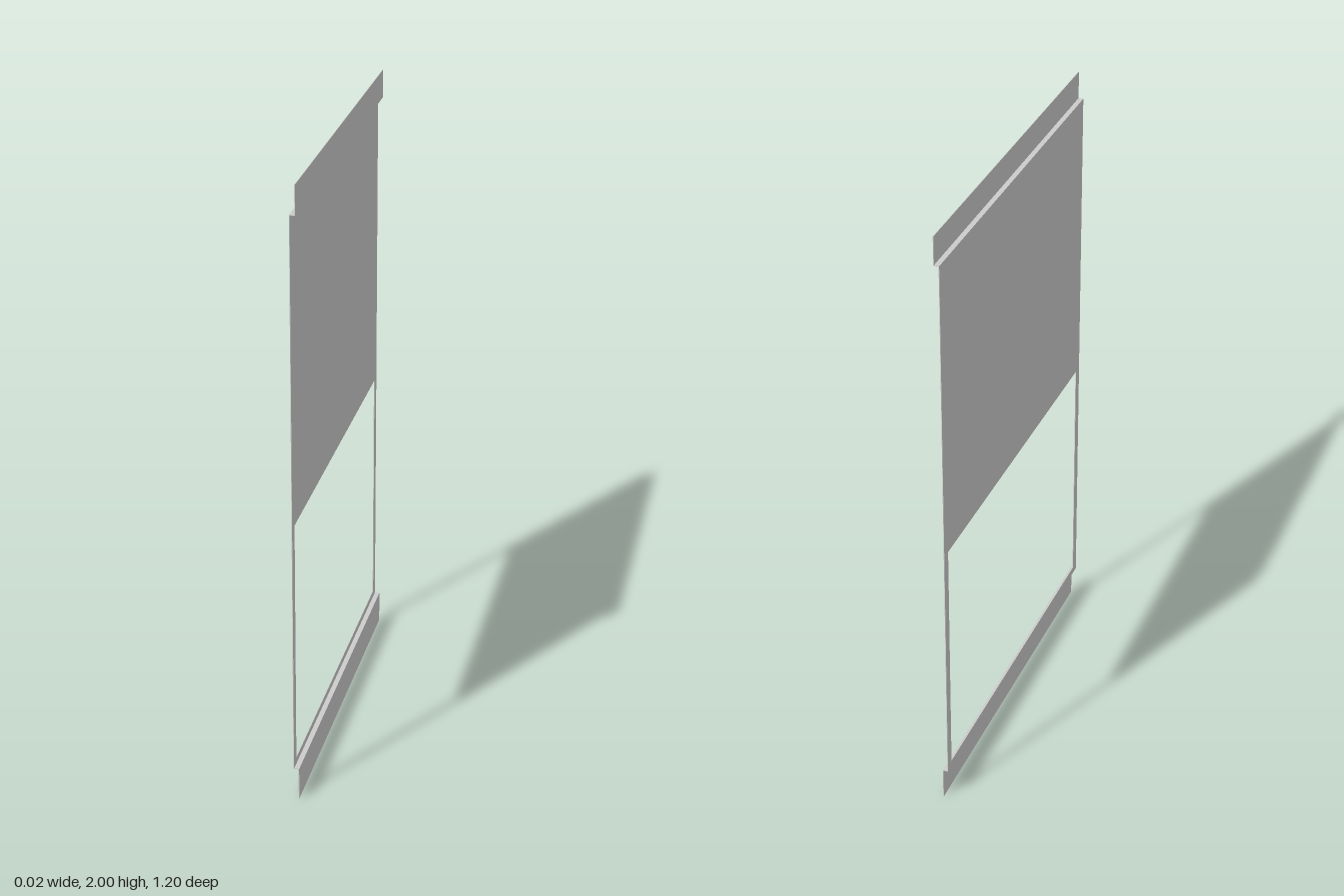
import * as THREE from 'three';

const T = 0.002;         // sheet thickness
const X = 0.009;         // half of the overall depth across the bends
const HALF_WIDTH = 0.6;
const BOTTOM_BEND = 0.105, TOP_BEND = 1.91, HEIGHT = 2;

export function createModel() {
  const group = new THREE.Group();
  const material = new THREE.MeshStandardMaterial({ color: 0xcccccc, side: THREE.DoubleSide });

  const add = (name, geometry, x, y) => {
    const mesh = new THREE.Mesh(geometry, material);
    mesh.name = name;
    mesh.position.set(x, y, 0);
    group.add(mesh);
  };

  // Main sheet with the rectangular window opening
  const rect = (path, w, y0, y1) => {
    path.moveTo(-w, y0).lineTo(w, y0).lineTo(w, y1).lineTo(-w, y1).closePath();
    return path;
  };
  const outline = rect(new THREE.Shape(), HALF_WIDTH, BOTTOM_BEND, TOP_BEND);
  outline.holes.push(rect(new THREE.Path(), 0.57, 0.128, 0.928));
  const panel = new THREE.ExtrudeGeometry(outline, { depth: T, bevelEnabled: false });
  panel.rotateY(-Math.PI / 2);
  add('panel', panel, -X + T, 0);

  // Offset flanges above and below, each joined by a narrow step
  const bands = [['bottom', 0, BOTTOM_BEND, BOTTOM_BEND + T / 2], ['top', TOP_BEND, HEIGHT, TOP_BEND - T / 2]];
  for (const [name, y0, y1, stepY] of bands) {
    add(name + 'Flange', new THREE.BoxGeometry(T, y1 - y0, 2 * HALF_WIDTH), X - T / 2, (y0 + y1) / 2);
    add(name + 'Step', new THREE.BoxGeometry(2 * X, T, 2 * HALF_WIDTH), 0, stepY);
  }
  return group;
}
